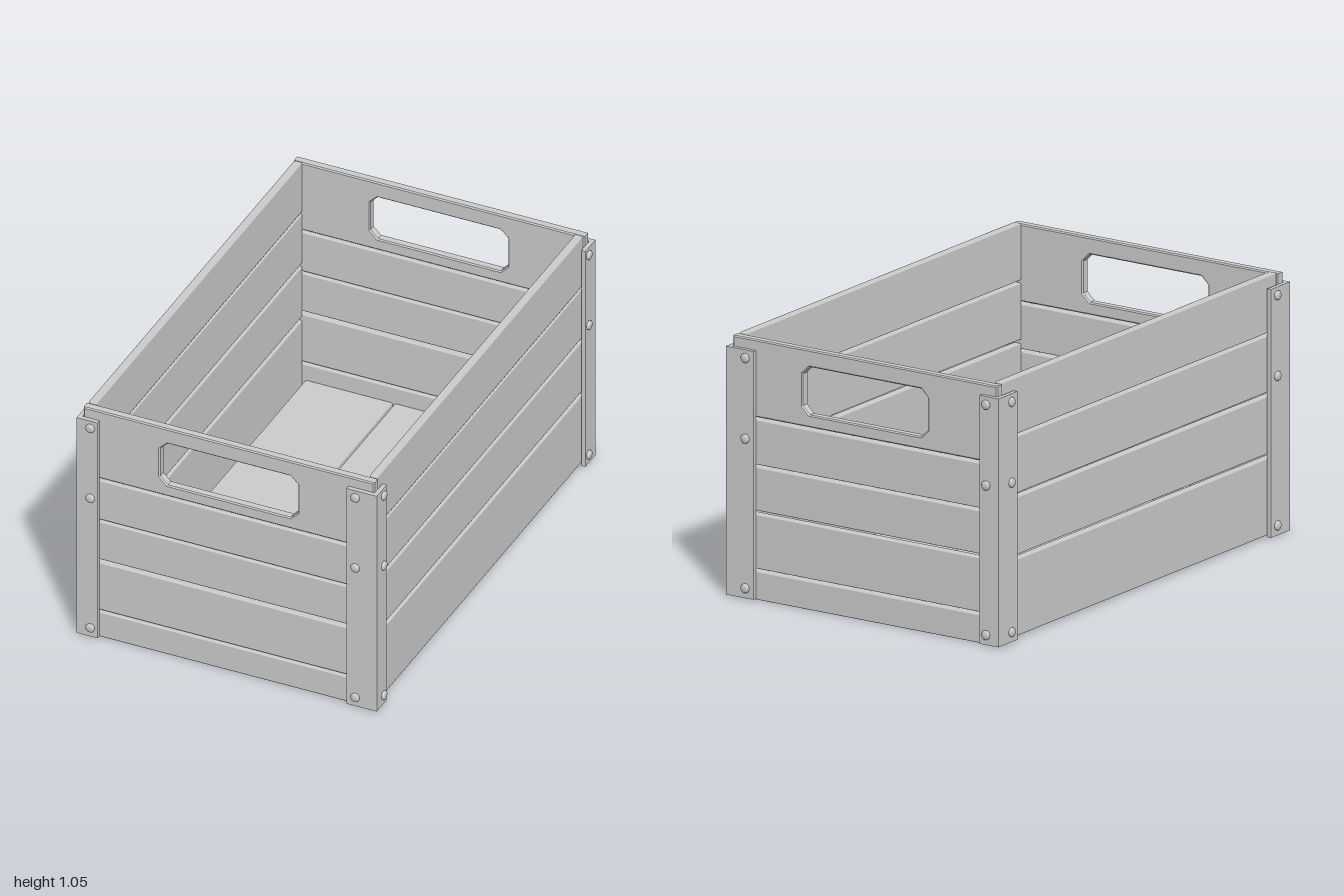
import * as THREE from 'three';
import { RoundedBoxGeometry } from 'three/addons/geometries/RoundedBoxGeometry.js';

const material = new THREE.MeshStandardMaterial({ color: 0xcccccc });

export function createModel() {
  const crate = new THREE.Group();
  crate.name = 'crate';

  const add = (name, geometry) => {
    const mesh = new THREE.Mesh(geometry, material);
    mesh.name = name;
    crate.add(mesh);
    return mesh;
  };

  // Plank with softened edges, given by its extents
  const plank = (name, x0, x1, y0, y1, z0, z1) =>
    add(name, new RoundedBoxGeometry(x1 - x0, y1 - y0, z1 - z0, 1, 0.005))
      .position.set((x0 + x1) / 2, (y0 + y1) / 2, (z0 + z1) / 2);

  // Floor planks
  for (const [x0, x1] of [[-0.57, -0.197], [-0.188, 0.186], [0.197, 0.572]])
    plank('floorPlank', x0, x1, 0.01, 0.045, -0.93, 0.92);

  // Long side planks
  const sideRows = [[0.008, 0.318], [0.335, 0.568], [0.583, 0.812], [0.822, 1.052]];
  for (const [y0, y1] of sideRows) {
    plank('leftSidePlank', 0.583, 0.618, y0, y1, -0.93, 0.93);
    plank('rightSidePlank', -0.618, -0.583, y0, y1, -0.93, 0.93);
  }

  // Top end board with a chamfered handle hole
  const bevel = 0.005;
  const rect = (x0, x1, y0, y1) => [[x0, y0], [x1, y0], [x1, y1], [x0, y1]];
  const points = (list) => list.map(([x, y]) => new THREE.Vector2(x, y));
  const handleShape = new THREE.Shape(points(
    rect(-0.622 + bevel, 0.622 - bevel, 0.735 + bevel, 1.047 - bevel)));
  const [hx, hy0, hy1, c] = [0.295 + bevel, 0.785 - bevel, 0.978 + bevel, 0.035];
  handleShape.holes.push(new THREE.Path(points([
    [-hx + c, hy0], [-hx, hy0 + c], [-hx, hy1 - c], [-hx + c, hy1],
    [hx - c, hy1], [hx, hy1 - c], [hx, hy0 + c], [hx - c, hy0]])));
  const handleGeometry = new THREE.ExtrudeGeometry(handleShape, {
    depth: 0.038 - 2 * bevel, bevelEnabled: true, bevelSize: bevel,
    bevelThickness: bevel, bevelSegments: 1,
  });

  // End walls: plain planks below the handle board
  const endRows = [[0, 0.115], [0.125, 0.344], [0.359, 0.534], [0.544, 0.725]];
  for (const [name, z0, z1] of [['front', 0.93, 0.968], ['back', -0.968, -0.93]]) {
    for (const [y0, y1] of endRows) plank(name + 'Plank', -0.622, 0.622, y0, y1, z0, z1);
    add(name + 'HandleBoard', handleGeometry).position.z = z0 + bevel;
  }

  // Domed bolt head whose axis points along +y
  const boltGeometry = new THREE.LatheGeometry(points([
    [0.019, -0.004], [0.019, 0.005], [0.016, 0.009], [0.009, 0.011], [0, 0.012]]), 16);
  const bolt = (x, y, z, nx, nz) => {
    const mesh = add('bolt', boltGeometry);
    mesh.position.set(x, y, z);
    mesh.quaternion.setFromUnitVectors(
      new THREE.Vector3(0, 1, 0), new THREE.Vector3(nx, 0, nz));
  };

  // Angle-iron corner posts: the two on +x are wide across the ends,
  // the two on -x are wide along the sides
  const [ox, oz, t] = [0.642, 0.988, 0.018];
  for (const sx of [1, -1]) {
    const wx = sx > 0 ? 0.13 : 0.09;
    const wz = sx > 0 ? 0.09 : 0.13;
    for (const sz of [1, -1]) {
      // Drawn in x and -z so that turning it upright keeps the corner in place
      const section = new THREE.Shape(points([
        [ox, oz], [ox - wx, oz], [ox - wx, oz - t],
        [ox - t, oz - t], [ox - t, oz - wz], [ox, oz - wz],
      ].map(([x, z]) => [x * sx, -z * sz])));
      const geometry = new THREE.ExtrudeGeometry(section, { depth: 1, bevelEnabled: false });
      geometry.rotateX(-Math.PI / 2);
      add('cornerPost', geometry).position.y = 0.005;

      const boltX = sx > 0 ? 0.55 : -0.583;
      const boltZ = sz * (sx > 0 ? 0.927 : 0.9);
      for (const y of [0.045, 0.647, 0.972]) {
        bolt(boltX, y, sz * oz, 0, sz);
        bolt(sx * ox, y, boltZ, sx, 0);
      }
    }
  }
  return crate;
}
